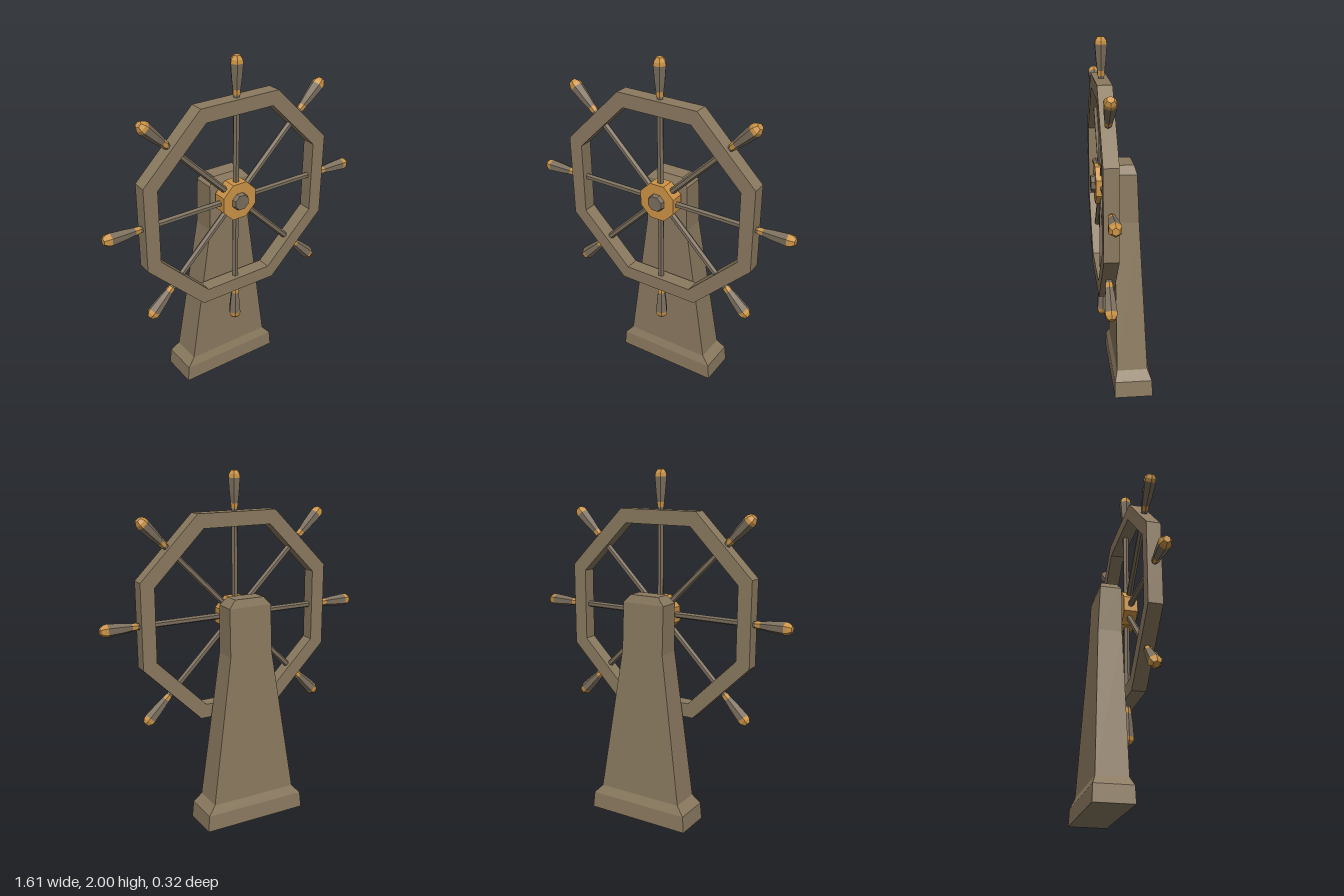
import * as THREE from 'three';

const mat = (name, color) => {
  const m = new THREE.MeshStandardMaterial({ color });
  m.name = name;
  return m;
};

const flat = (g) => {
  const f = g.index ? g.toNonIndexed() : g;
  f.computeVertexNormals();
  return f;
};

const mesh = (name, geometry, material) => {
  const m = new THREE.Mesh(flat(geometry), material);
  m.name = name;
  return m;
};

// Regular octagon with flat sides facing the spokes
function octagon(apothem, Type = THREE.Shape) {
  const r = apothem / Math.cos(Math.PI / 8);
  const pts = [];
  for (let i = 0; i < 8; i++) {
    const a = ((i + 0.5) * Math.PI) / 4;
    pts.push(new THREE.Vector2(r * Math.cos(a), r * Math.sin(a)));
  }
  return new Type(pts);
}

// Octagonal plate standing in the wheel plane, with an optional opening
function plate(outer, inner, depth) {
  const shape = octagon(outer);
  if (inner) shape.holes.push(octagon(inner, THREE.Path));
  const g = new THREE.ExtrudeGeometry(shape, { depth, bevelEnabled: false });
  return g.translate(0, 0, -depth / 2);
}

// Six-sided turned piece along +y; points are [radius, distance from hub]
const turned = (points) => new THREE.LatheGeometry(
  points.map(([r, y]) => new THREE.Vector2(r, y)), 6, Math.PI / 2);

// Axle piece along z
const axle = (rFront, rBack, z0, z1) => new THREE.CylinderGeometry(rFront, rBack, z1 - z0, 8)
  .rotateY(Math.PI / 8).rotateX(Math.PI / 2).translate(0, 0, (z0 + z1) / 2);

// Tapered post: a box whose rows follow [y, halfWidth, zBack, zFront]
function postGeometry() {
  const rows = [
    [0, 0.315, -0.16, 0.058],
    [0.095, 0.306, -0.156, 0.056],
    [0.145, 0.26, -0.135, 0.04],
    [1.0, 0.132, -0.097, 0.04],
    [1.275, 0.13, -0.085, 0.04],
    [1.32, 0.09, -0.072, 0.02],
  ];
  const g = new THREE.BoxGeometry(2, 5, 2, 1, 5, 1);
  const p = g.attributes.position;
  for (let i = 0; i < p.count; i++) {
    const [y, w, back, front] = rows[Math.round(p.getY(i) + 2.5)];
    p.setXYZ(i, p.getX(i) * w, y, p.getZ(i) > 0 ? front : back);
  }
  return g;
}

export function createModel() {
  const wood = mat('weathered wood', 0x8b7a60);
  const darkWood = mat('turned wood', 0x7c6f5d);
  const brass = mat('brass', 0xcc9446);

  const model = new THREE.Group();
  model.name = 'shipWheel';
  model.add(mesh('post', postGeometry(), wood));

  const wheel = new THREE.Group();
  wheel.name = 'wheel';
  wheel.position.set(0, 1.195, 0.1);
  model.add(wheel);

  wheel.add(mesh('rim', plate(0.586, 0.505, 0.08), wood));
  wheel.add(mesh('hub', plate(0.106, 0, 0.08), brass));
  wheel.add(mesh('axle', axle(0.057, 0.057, -0.075, -0.03), darkWood));
  wheel.add(mesh('axleCap', axle(0.045, 0.054, 0.035, 0.063), darkWood));

  // Spokes, each with a grip, collar and end cap
  for (let i = 0; i < 8; i++) {
    const spoke = new THREE.Group();
    spoke.name = 'spoke' + (i + 1);
    spoke.rotation.z = (i * Math.PI) / 4;
    spoke.add(mesh('spokeRod', turned([[0.018, 0.09], [0.018, 0.61]]), darkWood));
    spoke.add(mesh('collar', turned([[0, 0.6], [0.021, 0.6], [0.023, 0.628]]), brass));
    spoke.add(mesh('grip', turned([[0.023, 0.628], [0.03, 0.68], [0.037, 0.765]]), darkWood));
    spoke.add(mesh('endCap', turned([[0.037, 0.765], [0.034, 0.785], [0.02, 0.805], [0, 0.805]]), brass));
    wheel.add(spoke);
  }
  return model;
}
